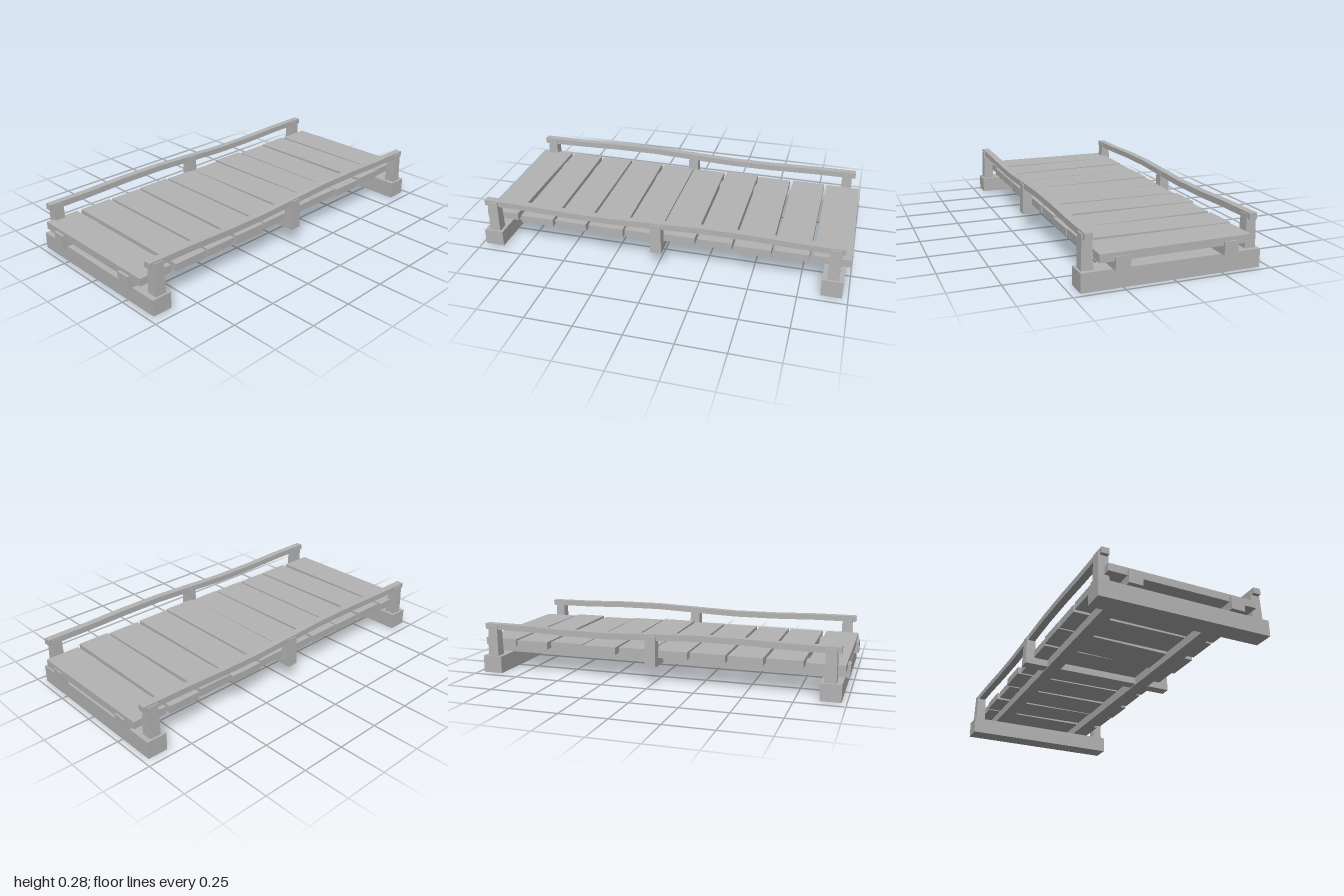
import * as THREE from 'three';

const wood = new THREE.MeshStandardMaterial({ color: 0xb4b4b4 });
wood.name = 'plain wood';

// Box between two corners, optionally bent by a rule on its vertices, with flat facets
function beam(name, [x0, x1], [y0, y1], [z0, z1], bend, segments = 1) {
  let geo = new THREE.BoxGeometry(x1 - x0, y1 - y0, z1 - z0, 1, 1, segments);
  geo.translate((x0 + x1) / 2, (y0 + y1) / 2, (z0 + z1) / 2);
  if (bend) {
    const p = geo.attributes.position;
    const v = new THREE.Vector3();
    for (let i = 0; i < p.count; i++) {
      bend(v.fromBufferAttribute(p, i));
      p.setXYZ(i, v.x, v.y, v.z);
    }
  }
  geo = geo.toNonIndexed();
  geo.computeVertexNormals();
  const mesh = new THREE.Mesh(geo, wood);
  mesh.name = name;
  return mesh;
}

// Planks: left end x, right end x, back z, front z, top y at left, top y at right
const planks = [
  [-0.385, 0.375, -0.99, -0.805, 0.18, 0.178],
  [-0.395, 0.39, -0.79, -0.61, 0.178, 0.184],
  [-0.385, 0.39, -0.59, -0.405, 0.18, 0.178],
  [-0.405, 0.385, -0.395, -0.207, 0.18, 0.184],
  [-0.39, 0.39, -0.192, -0.005, 0.179, 0.187],
  [-0.395, 0.39, 0.0, 0.185, 0.18, 0.18],
  [-0.4, 0.39, 0.2, 0.388, 0.182, 0.178],
  [-0.4, 0.39, 0.4, 0.58, 0.18, 0.176],
  [-0.4, 0.39, 0.598, 0.78, 0.182, 0.176],
  [-0.41, 0.38, 0.8, 0.985, 0.177, 0.178],
];

// Height offset of a hand-cut rail along its length
const wave = (z) => -0.012 * Math.sin(z * Math.PI * 1.3) * Math.max(0, 1 - z * z) + 0.002;

export function createModel() {
  const model = new THREE.Group();
  model.name = 'footbridge';

  // Sleepers under both ends
  model.add(beam('frontSleeper', [-0.455, 0.455], [0.004, 0.093], [0.87, 0.975],
    (v) => { if (v.y < 0.05) v.y += 0.004 * (v.x > 0 ? 1 : 0); }));
  model.add(beam('backSleeper', [-0.455, 0.455], [0, 0.093], [-0.97, -0.862]));

  // Long bearers carrying the deck
  model.add(beam('leftBearer', [0.228, 0.302], [0.093, 0.16], [-1, 1]));
  model.add(beam('rightBearer', [-0.315, -0.243], [0.093, 0.16], [-1, 1]));

  // Cross beam tying the middle posts together
  model.add(beam('middleCrossBeam', [-0.44, 0.44], [0.099, 0.137], [-0.03, 0.03]));

  // Uneven deck planks
  const deck = new THREE.Group();
  deck.name = 'deck';
  planks.forEach(([x0, x1, z0, z1, yl, yr], i) => {
    const skew = (i % 2 ? 1 : -1) * 0.004;
    deck.add(beam('plank', [x0, x1], [-0.04, 0], [z0, z1], (v) => {
      v.y += v.x < 0 ? yl : yr;
      if (v.x > 0 && v.z < (z0 + z1) / 2) v.z += skew;
      if (v.x > 0 && v.y < 0.16) v.y -= i === 6 ? 0.012 : 0;
    }));
  });
  model.add(deck);

  // Handrails: three slightly tapered posts and one wavy rail per side
  for (const side of [1, -1]) {
    const rail = new THREE.Group();
    rail.name = side > 0 ? 'leftHandrail' : 'rightHandrail';
    const span = (a, b) => (side > 0 ? [a, b] : [-b, -a]);
    for (const z of [-0.915, 0, 0.917]) {
      rail.add(beam('post', span(0.385, 0.443), [z ? 0.092 : 0.099, 0.262], [z - 0.03, z + 0.03],
        (v) => {
          if (v.y > 0.2) {
            v.x = side * (0.415 + (Math.abs(v.x) - 0.415) * 0.85);
            v.z = z + (v.z - z) * 0.9;
          }
        }));
    }
    rail.add(beam('rail', span(0.393, 0.432), [0.236, 0.268], [-0.962, 0.965],
      (v) => { v.y += wave(side * v.z); }, 8));
    model.add(rail);
  }
  return model;
}
